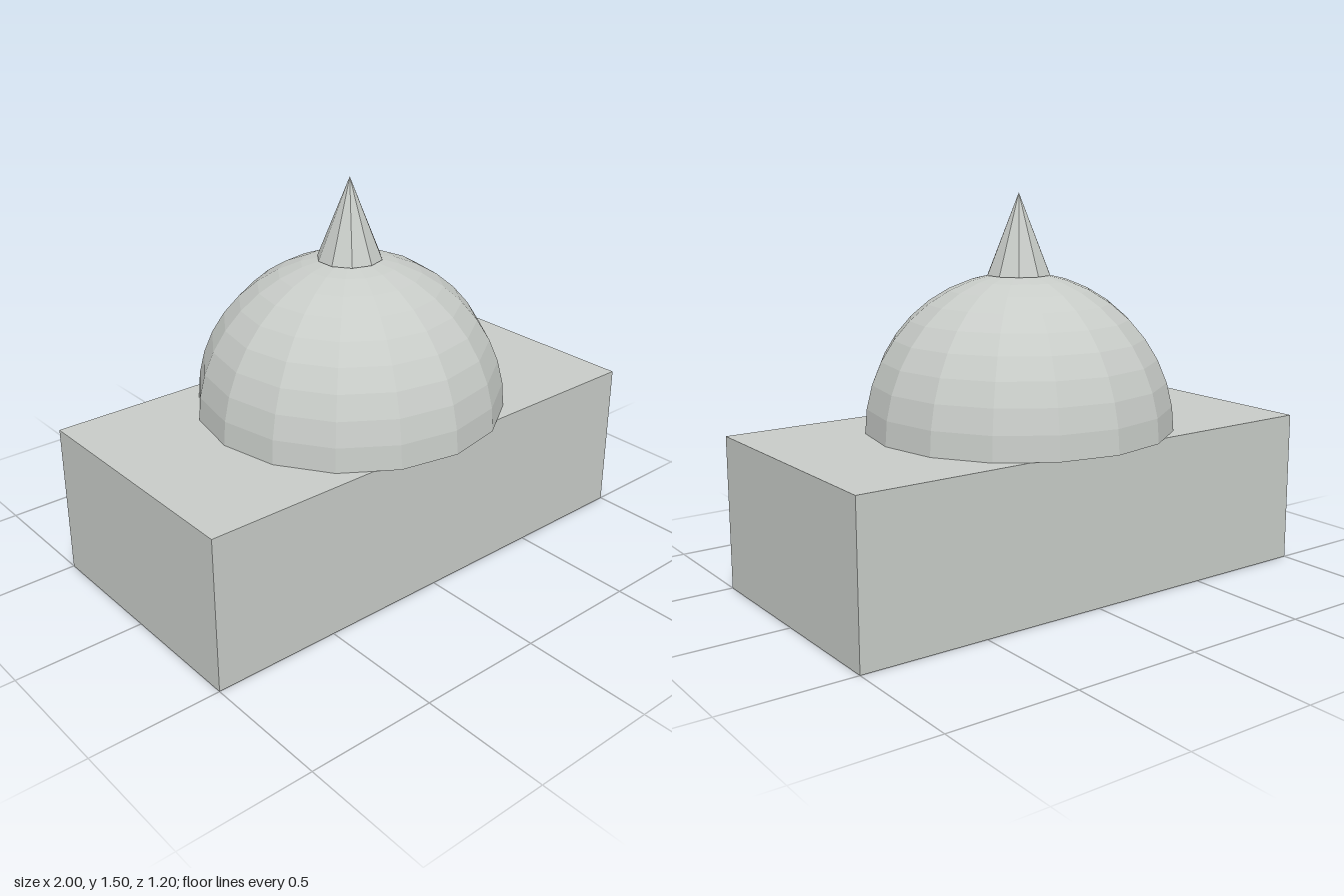
import * as THREE from 'three';

export function createModel() {
  const group = new THREE.Group();
  const stone = new THREE.MeshStandardMaterial({ color: 0xc8ccc8, flatShading: true, side: THREE.DoubleSide });
  stone.name = 'pale grey stone';

  const add = (name, geometry, y) => {
    const mesh = new THREE.Mesh(geometry, stone);
    mesh.name = name;
    mesh.position.y = y;
    group.add(mesh);
  };

  // Rectangular hall
  add('base', new THREE.BoxGeometry(2, 0.6, 1), 0.3);
  // Sixteen-sided hemisphere, open underneath, overhanging front and back
  add('dome', new THREE.SphereGeometry(0.6, 16, 10, 0, Math.PI * 2, 0, Math.PI / 2), 0.6);
  // Ten-sided spire
  add('spire', new THREE.ConeGeometry(0.125, 0.31, 10), 1.345);

  return group;
}
